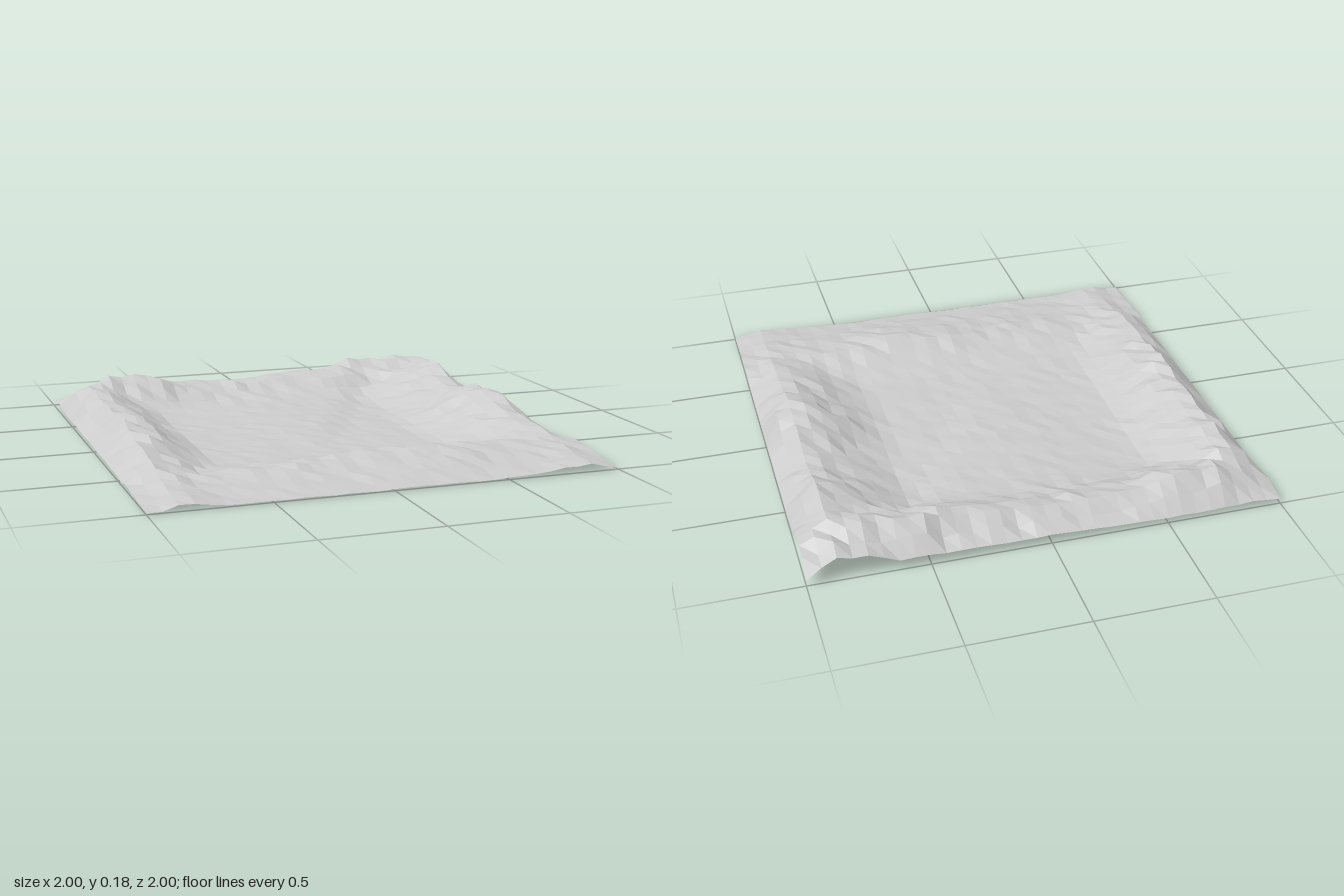
import * as THREE from 'three';

const N = 32; // cells per side

// Crest heights along each side, evenly spaced from -1 to 1
const crests = {
  left: [0.04, 0.155, 0.15, 0.145, 0.155, 0.13, 0.1, 0.06, 0.03],
  right: [0.12, 0.18, 0.155, 0.11, 0.185, 0.135, 0.105, 0.06, 0.04],
  back: [0.05, 0.155, 0.14, 0.1, 0.1, 0.13, 0.15, 0.175, 0.12],
  front: [0.03, 0.045, 0.065, 0.07, 0.085, 0.095, 0.085, 0.08, 0.05],
};

// Small repeatable noise in -1..1
function noise(i, j) {
  const s = Math.sin(i * 127.1 + j * 311.7 + 4.3) * 43758.5453;
  return 2 * (s - Math.floor(s)) - 1;
}

function along(list, t) {
  const u = THREE.MathUtils.clamp((t + 1) / 2, 0, 1) * (list.length - 1);
  const k = Math.min(Math.floor(u), list.length - 2);
  return THREE.MathUtils.lerp(list[k], list[k + 1], u - k);
}

// Bank rising from the border (d = 0) to a crest, then sloping into the basin
function bank(d, crestAt, innerAt) {
  if (d < crestAt) return Math.pow(d / crestAt, 0.8);
  return 1 - THREE.MathUtils.smoothstep(d, crestAt * 0.8, innerAt);
}

function height(x, z, i, j) {
  const ss = THREE.MathUtils.smoothstep;
  // basin floor: higher toward the back, with a faint step across the middle
  const step = 1 - ss(x + 0.55 * z, 0.02, 0.16);
  let floor = 0.012 + 0.02 * ss(-z, 0.3, 0.9);
  floor += 0.018 * step * ss(-z, -0.4, 0.25) * ss(x, -0.5, 0.05);

  const wobble = 0.03 * noise(Math.floor(i / 3) + 50, Math.floor(j / 3));
  const rim = Math.max(
    along(crests.left, z) * bank(1 + x, 0.13 + wobble, 0.5),
    along(crests.right, z) * bank(1 - x, 0.11 + wobble / 2, 0.6),
    along(crests.back, x) * bank(1 + z, 0.12 + wobble, 0.46),
    along(crests.front, x) * bank(1 - z, 0.36 + wobble, 0.68),
  );
  // the border stays low; roughness grows with the slope
  const edge = 1 - Math.max(Math.abs(x), Math.abs(z));
  const border = 0.03 * (1 - ss(edge, 0, 0.12)) * (1 - 0.5 * ss(z, 0, 1));
  const rough = 0.12 * rim * noise(i, j) + 0.003 * noise(i + 7, j + 3);
  return Math.max(floor, rim, border) + 0.25 * Math.min(floor, rim) + rough;
}

function terrainGeometry() {
  const positions = [];
  const index = [];
  for (let j = 0; j <= N; j++) {
    for (let i = 0; i <= N; i++) {
      const x = (2 * i) / N - 1;
      const z = (2 * j) / N - 1;
      positions.push(x, height(x, z, i, j), z);
      if (i < N && j < N) {
        const a = j * (N + 1) + i;
        const b = a + N + 1;
        index.push(a, b, b + 1, a, b + 1, a + 1);
      }
    }
  }
  const geometry = new THREE.BufferGeometry();
  geometry.setAttribute('position', new THREE.Float32BufferAttribute(positions, 3));
  geometry.setIndex(index);
  // rest the lowest point on the ground
  geometry.computeBoundingBox();
  geometry.translate(0, -geometry.boundingBox.min.y, 0);
  const faceted = geometry.toNonIndexed();
  faceted.computeVertexNormals();
  return faceted;
}

export function createModel() {
  const group = new THREE.Group();
  group.name = 'terrainTile';
  const material = new THREE.MeshStandardMaterial({
    color: 0xcccccc,
    flatShading: true,
    side: THREE.DoubleSide,
  });
  const terrain = new THREE.Mesh(terrainGeometry(), material);
  terrain.name = 'terrain';
  group.add(terrain);
  return group;
}
